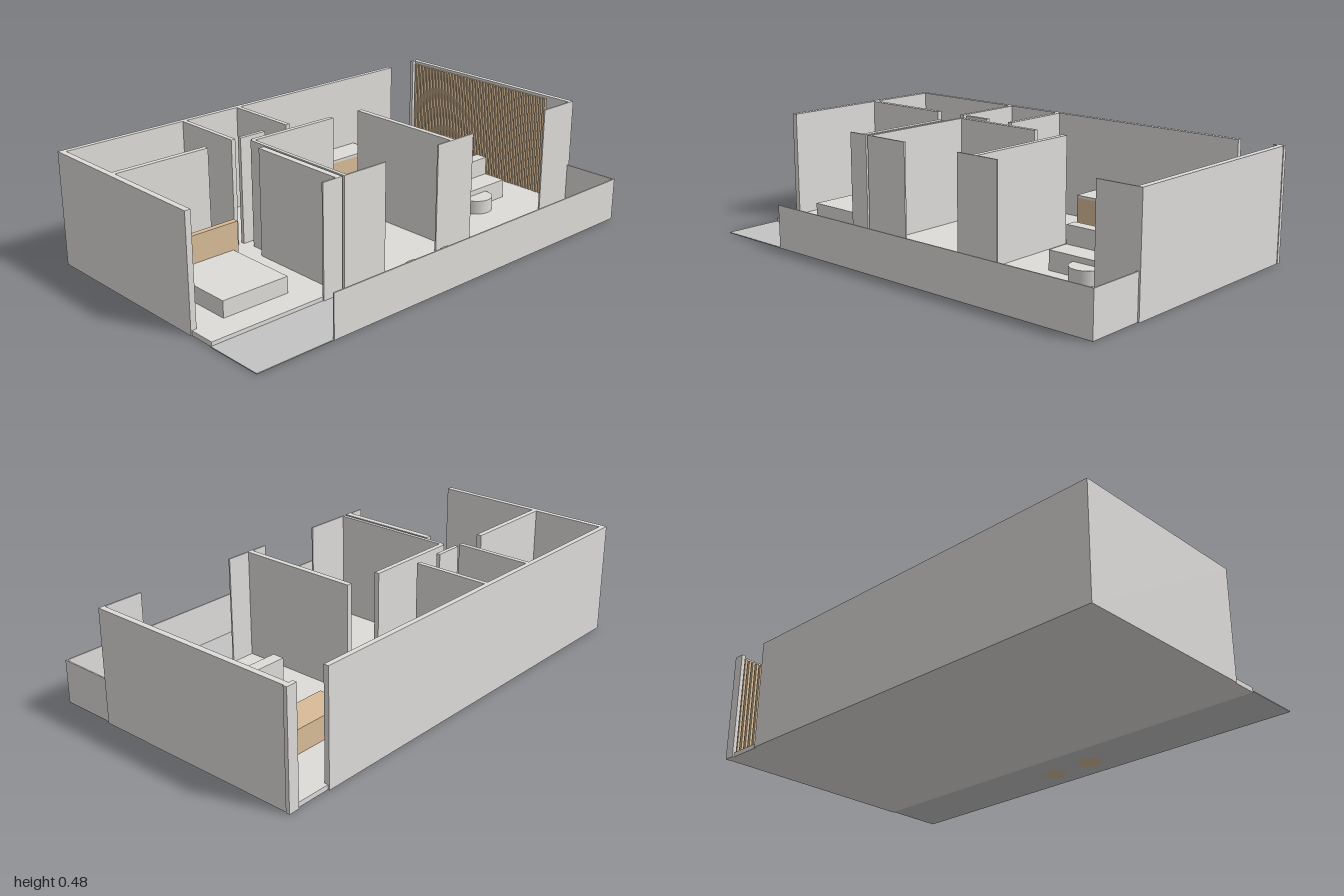
import * as THREE from 'three';

export function createModel() {
  const model = new THREE.Group();
  model.name = 'cutawayHouse';
  const mat = (name, color) => {
    const m = new THREE.MeshStandardMaterial({ color });
    m.name = name;
    return m;
  };
  const white = mat('offWhite', 0xdedcd9);
  const grey = mat('terraceGrey', 0xc3c3c3);
  const wood = mat('lightWood', 0xd8bc97);

  // Box given by its limits on each axis
  const box = (name, m, [x0, x1], [y0, y1], [z0, z1], parent = model) => {
    const mesh = new THREE.Mesh(new THREE.BoxGeometry(x1 - x0, y1 - y0, z1 - z0), m);
    mesh.position.set((x0 + x1) / 2, (y0 + y1) / 2, (z0 + z1) / 2);
    mesh.name = name;
    parent.add(mesh);
  };
  const cylinder = (name, m, x, z, r, y0, y1) => {
    const mesh = new THREE.Mesh(new THREE.CylinderGeometry(r, r, y1 - y0, 40), m);
    mesh.position.set(x, (y0 + y1) / 2, z);
    mesh.name = name;
    model.add(mesh);
  };

  const F = 0.02;   // floor level
  const H = 0.48;   // wall height
  const P = 0.185;  // parapet height

  // Ground
  box('floor', white, [-0.995, 0.99], [0, F], [-0.598, 0.345]);
  box('terrace', grey, [-1, 0.99], [0, 0.004], [0.345, 0.6]);

  // Outer walls
  box('leftWall', white, [-1, -0.975], [0, H], [-0.605, 0.23]);
  box('backWall', white, [-0.975, 0.8], [0, H], [-0.605, -0.583]);
  box('sideWall', white, [0.972, 0.997], [0, H], [-0.592, 0.345]);
  box('cornerPost', white, [0.953, 1], [0, H], [-0.605, -0.588]);

  // Thin front wall panels
  for (const xs of [[-0.475, -0.38], [-0.37, -0.155], [0.135, 0.34], [0.8, 0.997]])
    box('frontPanel', white, xs, [0, H], [0.343, 0.35]);

  // Inner partitions: x limits, z limits
  const partitions = [
    [[-0.975, -0.55], [-0.263, -0.24]],
    [[-0.424, -0.404], [-0.583, -0.255]],
    [[-0.383, -0.258], [-0.265, -0.248]],
    [[-0.14, -0.12], [-0.583, -0.255]],
    [[-0.36, 0.065], [-0.21, -0.189]],
    [[-0.407, -0.38], [-0.103, 0.343]],
    [[-0.37, -0.354], [-0.2, 0.343]],
    [[0.21, 0.234], [-0.195, 0.343]],
  ];
  for (const [xs, zs] of partitions) box('partition', white, xs, [F, H], zs);

  // Terrace parapet
  box('frontParapet', white, [-0.65, 0.99], [0, P], [0.594, 0.6]);
  box('sideParapet', white, [0.984, 0.99], [0, P], [0.35, 0.594]);

  // Wooden slats along the living room wall
  const slats = new THREE.Group();
  slats.name = 'slatWall';
  model.add(slats);
  const n = 41, pitch = 0.81 / n;
  for (let i = 0; i < n; i++) {
    const z = -0.58 + i * pitch;
    box('slat', wood, [0.96, 0.972], [F, 0.468], [z, z + pitch * 0.6], slats);
  }

  // Bed
  box('mattress', white, [-0.855, -0.55], [F, 0.09], [-0.1, 0.23]);
  box('headboard', wood, [-0.88, -0.525], [F, 0.207], [-0.125, -0.1]);

  // Kitchen counter and table
  box('counterCabinet', wood, [0.085, 0.55], [F, 0.145], [-0.583, -0.46]);
  box('counterTop', white, [0.085, 0.55], [0.145, 0.157], [-0.583, -0.458]);
  box('table', wood, [0.44, 0.733], [F, 0.122], [-0.38, -0.237]);

  // Sofa and round pouf
  box('sofaBack', white, [0.418, 0.802], [F, 0.183], [-0.022, 0.031]);
  box('sofaSeat', white, [0.418, 0.802], [F, 0.103], [0.031, 0.137]);
  cylinder('pouf', white, 0.61, 0.143, 0.072, F, 0.08);

  // Terrace stools
  for (const x of [-0.092, 0.102]) cylinder('terraceStool', wood, x, 0.48, 0.06, 0, 0.075);

  return model;
}
